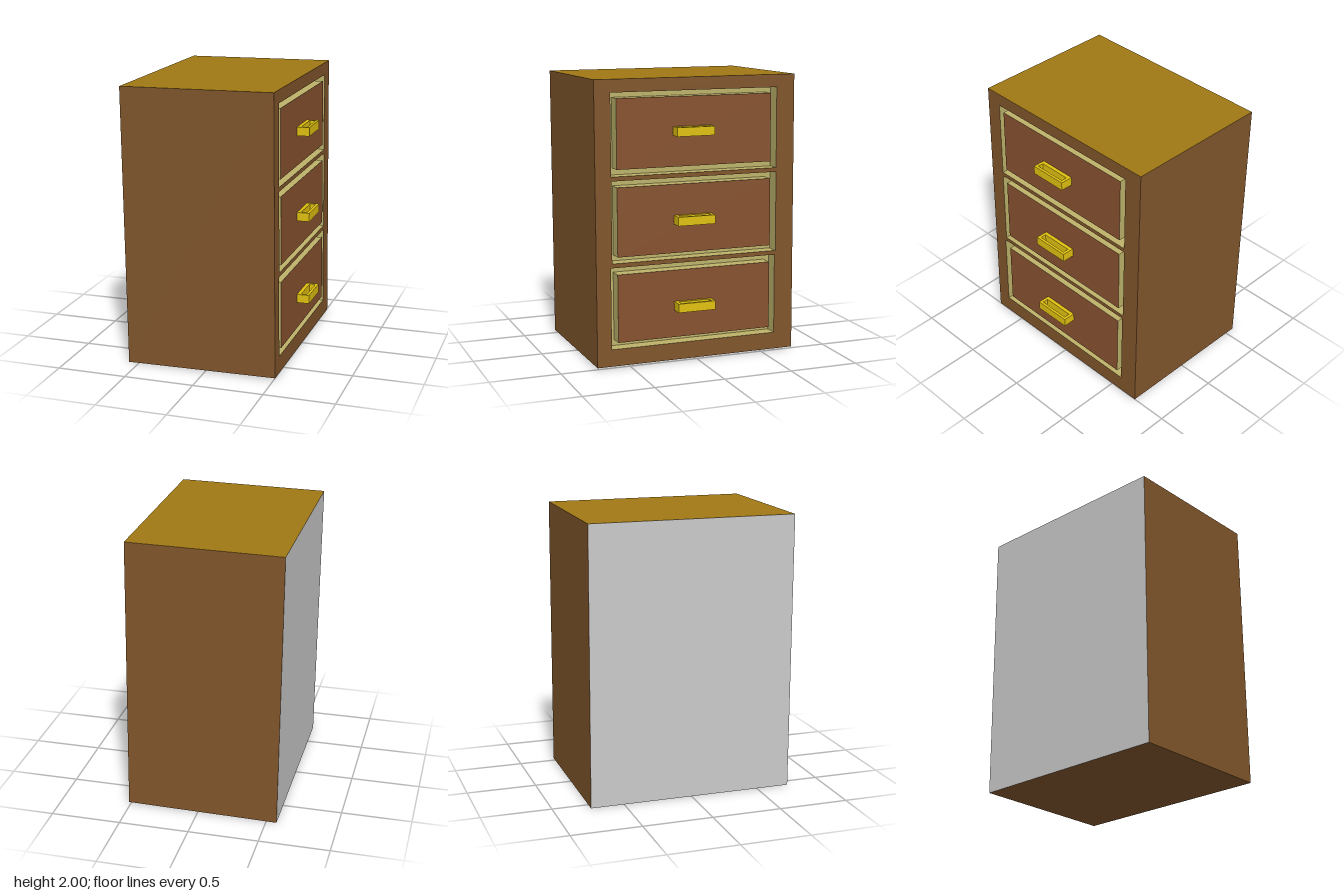
import * as THREE from 'three';

const paint = (color) => new THREE.MeshStandardMaterial({ color, flatShading: true });
const wood = paint(0x80552b), gold = paint(0xa07814), grey = paint(0xcccccc);
const cream = paint(0xbdb26a), panelWood = paint(0x87522f), brass = paint(0xe0c010);

const W = 1.085, H = 1.986, D = 1.48; // cabinet size
const FACE = W / 2; // local x of the drawer face
const GROOVE = 0.1; // depth of the groove round each drawer

// Drawers in cabinet coordinates: hole and panel extents, handle centre
const drawers = [
  { hole: [0.333, 0.903, -0.605, 0.625], panel: [0.38, 0.863, -0.56, 0.585], handle: [0.627, 0.04] },
  { hole: [-0.267, 0.303, -0.605, 0.625], panel: [-0.225, 0.258, -0.56, 0.585], handle: [0.01, 0.035] },
  { hole: [-0.872, -0.297, -0.598, 0.635], panel: [-0.828, -0.347, -0.557, 0.587], handle: [-0.602, 0.035] },
];

function rect(path, x0, x1, y0, y1) {
  path.moveTo(x0, y0);
  path.lineTo(x1, y0);
  path.lineTo(x1, y1);
  path.lineTo(x0, y1);
  path.closePath();
  return path;
}

function add(parent, name, geometry, material) {
  const mesh = new THREE.Mesh(geometry, material);
  mesh.name = name;
  parent.add(mesh);
  return mesh;
}

// Box without its +x side
function openBox(w, h, d) {
  const g = new THREE.BoxGeometry(w, h, d);
  g.setIndex(Array.from(g.index.array).slice(6));
  g.clearGroups();
  for (let i = 0; i < 5; i++) g.addGroup(i * 6, 6, i + 1);
  return g;
}

// Box spanning y0..y1 and z0..z1, running from the face inwards
function place(mesh, [y0, y1, z0, z1]) {
  mesh.position.set(FACE - GROOVE / 2, (y0 + y1) / 2, (z0 + z1) / 2);
}

function addDrawer(parent, { hole, panel, handle }) {
  const drawer = new THREE.Group();
  drawer.name = 'drawer';
  parent.add(drawer);

  // Recess: open box turned inside out
  const recess = openBox(GROOVE, hole[1] - hole[0], hole[3] - hole[2]);
  recess.setIndex(Array.from(recess.index.array).reverse());
  recess.clearGroups();
  recess.scale(1, 1, 1);
  const normals = recess.attributes.normal;
  for (let i = 0; i < normals.array.length; i++) normals.array[i] *= -1;
  place(add(drawer, 'drawerRecess', recess, cream), hole);

  // Panel flush with the face, cream round its sides
  const front = new THREE.BoxGeometry(GROOVE, panel[1] - panel[0], panel[3] - panel[2]);
  place(add(drawer, 'drawerPanel', front, [panelWood, cream, cream, cream, cream, cream]), panel);

  // Handle: a rectangular loop with a thicker bar against the panel
  const loop = rect(new THREE.Shape(), -0.003, 0.09, -0.138, 0.138);
  loop.holes.push(rect(new THREE.Path(), 0.027, 0.07, -0.116, 0.116));
  const bar = new THREE.ExtrudeGeometry(loop, { depth: 0.062, bevelEnabled: false });
  bar.translate(0, 0, -0.031).rotateX(-Math.PI / 2);
  add(drawer, 'drawerHandle', bar, brass).position.set(FACE, handle[0], handle[1]);
}

export function createModel() {
  const model = new THREE.Group();
  model.name = 'drawerCabinet';

  // The whole cabinet leans back slightly
  const cabinet = new THREE.Group();
  cabinet.name = 'cabinet';
  cabinet.position.set(-0.045, 1, 0);
  cabinet.rotation.z = 0.0127;
  model.add(cabinet);

  // Carcass: sides, gold top, grey back
  add(cabinet, 'carcass', openBox(W, H, D), [wood, grey, gold, wood, wood, wood]);

  // Face frame with an opening per drawer
  const frame = rect(new THREE.Shape(), -D / 2, D / 2, -H / 2, H / 2);
  for (const { hole: [y0, y1, z0, z1] } of drawers) {
    frame.holes.push(rect(new THREE.Path(), -z1, -z0, y0, y1));
  }
  const face = new THREE.ShapeGeometry(frame).rotateY(Math.PI / 2);
  add(cabinet, 'faceFrame', face, wood).position.x = FACE;

  drawers.forEach((d) => addDrawer(cabinet, d));
  return model;
}
